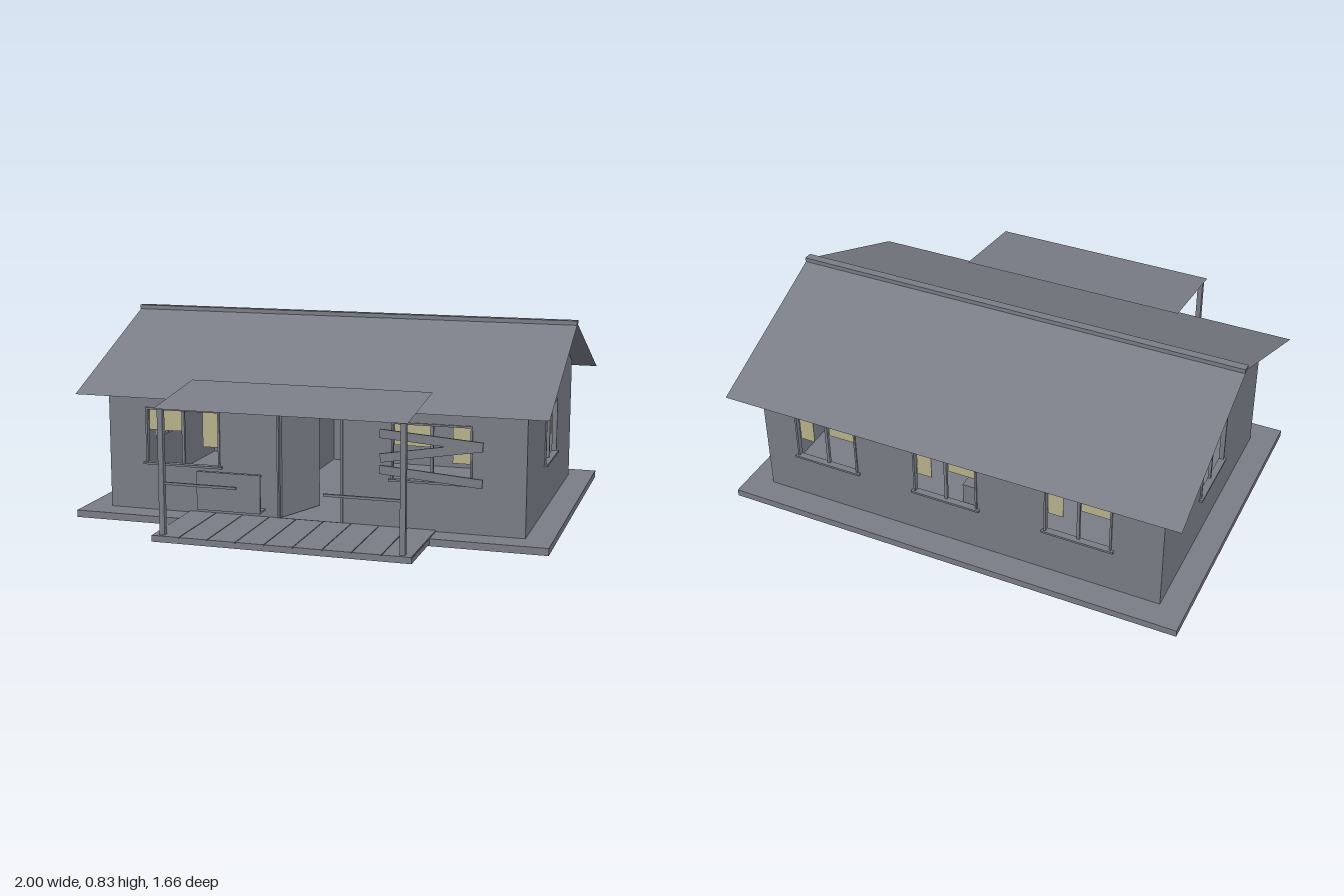
import * as THREE from 'three';

const grey = new THREE.MeshStandardMaterial({ color: 0x7a7d86, side: THREE.DoubleSide });
grey.name = 'weatheredGrey';
const cloth = new THREE.MeshStandardMaterial({ color: 0xb8b28c, side: THREE.DoubleSide });
cloth.name = 'paleCloth';

const HW = 0.89, HD = 0.575, CZ = -0.145;      // house half width, half depth, centre in z
const BASE = 0.03, EAVE = 0.57, RIDGE = 0.81, T = 0.015;
const W_LOW = 0.235, W_TOP = 0.46;             // window opening heights

function add(parent, name, geo, mat = grey) {
  const mesh = new THREE.Mesh(geo, mat);
  mesh.name = name;
  parent.add(mesh);
  return mesh;
}

// Box given by its minimum and maximum corners
function box(parent, name, [x0, x1], [y0, y1], [z0, z1], mat = grey) {
  const mesh = add(parent, name, new THREE.BoxGeometry(x1 - x0, y1 - y0, z1 - z0), mat);
  mesh.position.set((x0 + x1) / 2, (y0 + y1) / 2, (z0 + z1) / 2);
  return mesh;
}

// Flat sheet running across x between two (y, z) edges
function sheet(parent, name, halfX, [ya, za], [yb, zb]) {
  const mesh = add(parent, name, new THREE.PlaneGeometry(2 * halfX, Math.hypot(yb - ya, zb - za)));
  mesh.position.set(0, (ya + yb) / 2, (za + zb) / 2);
  mesh.rotation.x = Math.atan2(zb - za, yb - ya);
  return mesh;
}

// Wall with rectangular openings; its outer face lies on local z = 0
function wall(parent, name, outline, openings) {
  const shape = new THREE.Shape(outline.map(([x, y]) => new THREE.Vector2(x, y)));
  for (const [x0, x1, y0, y1] of openings) {
    shape.holes.push(new THREE.Path([[x0, y0], [x0, y1], [x1, y1], [x1, y0]].map(([x, y]) => new THREE.Vector2(x, y))));
  }
  const geo = new THREE.ExtrudeGeometry(shape, { depth: T, bevelEnabled: false });
  geo.translate(0, 0, -T);
  return add(parent, name, geo);
}

// Window: trim, mullion, sill and two torn curtains; side = where the long curtain hangs
function windowUnit(parent, x0, x1, side) {
  const g = new THREE.Group();
  g.name = 'window';
  parent.add(g);
  const f = 0.008, c = (x0 + x1) / 2, out = [-T, 0.006];
  box(g, 'frameLeft', [x0 - f, x0], [W_LOW, W_TOP + f], out);
  box(g, 'frameRight', [x1, x1 + f], [W_LOW, W_TOP + f], out);
  box(g, 'frameTop', [x0, x1], [W_TOP, W_TOP + f], out);
  box(g, 'mullion', [c - 0.006, c + 0.006], [W_LOW, W_TOP], [-T, -0.003]);
  box(g, 'sill', [x0 - 0.018, x1 + 0.018], [W_LOW - 0.009, W_LOW], [-T, 0.014]);
  const half = (x1 - x0) / 2;
  const curtain = (name, a, b, low) =>
    box(g, name, [Math.min(a, b), Math.max(a, b)], [low, W_TOP], [-0.021, -0.018], cloth);
  curtain('shortCurtain', c - side * half, c - side * 0.006, 0.37);
  curtain('longCurtain', c + side * half, c + side * half * 0.52, 0.31);
}

export function createModel() {
  const model = new THREE.Group();
  model.name = 'abandonedCabin';

  // Ground slab
  box(model, 'foundation', [-1, 1], [0, BASE], [-0.83, 0.54]);

  // House walls
  const house = new THREE.Group();
  house.name = 'house';
  house.position.z = CZ;
  model.add(house);
  const rect = [[-HW, BASE], [HW, BASE], [HW, EAVE], [-HW, EAVE]];
  const gable = [[-HD, BASE], [HD, BASE], [HD, EAVE], [0, RIDGE], [-HD, EAVE]];
  const door = [-0.135, 0.135, BASE + 0.002, 0.495];
  const sides = [
    { name: 'front', outline: rect, wins: [[-0.715, -0.4], [0.35, 0.665]], extra: [door], angle: 0, dist: HD, side: 1 },
    { name: 'back', outline: rect, wins: [[-0.73, -0.46], [-0.18, 0.09], [0.4, 0.67]], extra: [], angle: Math.PI, dist: HD, side: -1 },
    { name: 'left', outline: gable, wins: [[-0.135, 0.135]], extra: [], angle: Math.PI / 2, dist: HW, side: 1 },
    { name: 'right', outline: gable, wins: [[-0.135, 0.135]], extra: [], angle: -Math.PI / 2, dist: HW, side: -1 },
  ];
  for (const s of sides) {
    const g = new THREE.Group();
    g.name = s.name + 'Side';
    g.rotation.y = s.angle;
    g.position.set(Math.sin(s.angle) * s.dist, 0, Math.cos(s.angle) * s.dist);
    house.add(g);
    wall(g, s.name + 'Wall', s.outline, [...s.wins.map(([a, b]) => [a, b, W_LOW, W_TOP]), ...s.extra]);
    for (const [a, b] of s.wins) windowUnit(g, a, b, s.side);
  }

  // Inner partition and a low crate
  box(house, 'partition', [-0.26, -0.25], [BASE, EAVE], [-HD + T, 0]);
  box(house, 'crate', [-0.04, 0.085], [BASE, 0.125], [-0.35, -0.25]);

  // Main roof and ridge cap
  for (const s of [-1, 1]) sheet(house, 'roofSlope', 0.99, [RIDGE + 0.003, 0], [0.528, s * 0.685]);
  box(house, 'ridgeCap', [-0.99, 0.99], [0.808, 0.826], [-0.018, 0.018]);

  // Door frame and the door standing ajar inwards
  box(model, 'doorFrameLeft', [-0.141, -0.133], [BASE, 0.502], [0.41, 0.438]);
  box(model, 'doorFrameRight', [0.133, 0.141], [BASE, 0.502], [0.41, 0.438]);
  box(model, 'doorFrameTop', [-0.133, 0.133], [0.494, 0.502], [0.41, 0.438]);
  const hinge = new THREE.Group();
  hinge.name = 'doorHinge';
  hinge.position.set(-0.13, 0, 0.42);
  hinge.rotation.y = 1.21;
  model.add(hinge);
  box(hinge, 'door', [0, 0.25], [0.036, 0.485], [-0.006, 0.006]);

  // Porch deck with separate planks
  const porch = new THREE.Group();
  porch.name = 'porch';
  model.add(porch);
  box(porch, 'deckBase', [-0.53, 0.53], [0.01, 0.031], [0.54, 0.83]);
  const n = 9, pitch = 1.06 / n;
  for (let i = 0; i < n; i++) {
    const x = -0.53 + i * pitch;
    box(porch, 'deckPlank', [x + 0.0015, x + pitch - 0.0015], [0.03, 0.036], [0.432, 0.83]);
  }

  // Posts, broken rails and lean-to roof
  for (const s of [-1, 1]) {
    box(porch, 'post', [s * 0.49 - 0.011, s * 0.49 + 0.011], [0.035, 0.545], [0.793, 0.815]);
  }
  box(porch, 'brokenRailRight', [-0.49, -0.18], [0.24, 0.25], [0.799, 0.809]);
  box(porch, 'brokenRailLeft', [0.175, 0.49], [0.24, 0.25], [0.799, 0.809]);
  sheet(porch, 'porchRoof', 0.51, [0.595, 0.43], [0.546, 0.83]);

  // Hanging bench facing the house
  const span = [-0.36, -0.095];
  box(porch, 'benchSeat', span, [0.138, 0.146], [0.703, 0.765]);
  box(porch, 'benchBack', span, [0.146, 0.284], [0.757, 0.765]);
  box(porch, 'benchLip', span, [0.284, 0.292], [0.746, 0.765]);

  // Boards nailed across the window: height at each end
  for (const [a, b] of [[0.423, 0.392], [0.322, 0.392], [0.276, 0.243]]) {
    const board = add(model, 'nailedBoard', new THREE.BoxGeometry(0.42, 0.036, 0.009));
    board.position.set(0.51, (a + b) / 2, 0.455);
    board.rotation.z = Math.atan2(b - a, 0.42);
  }
  return model;
}
